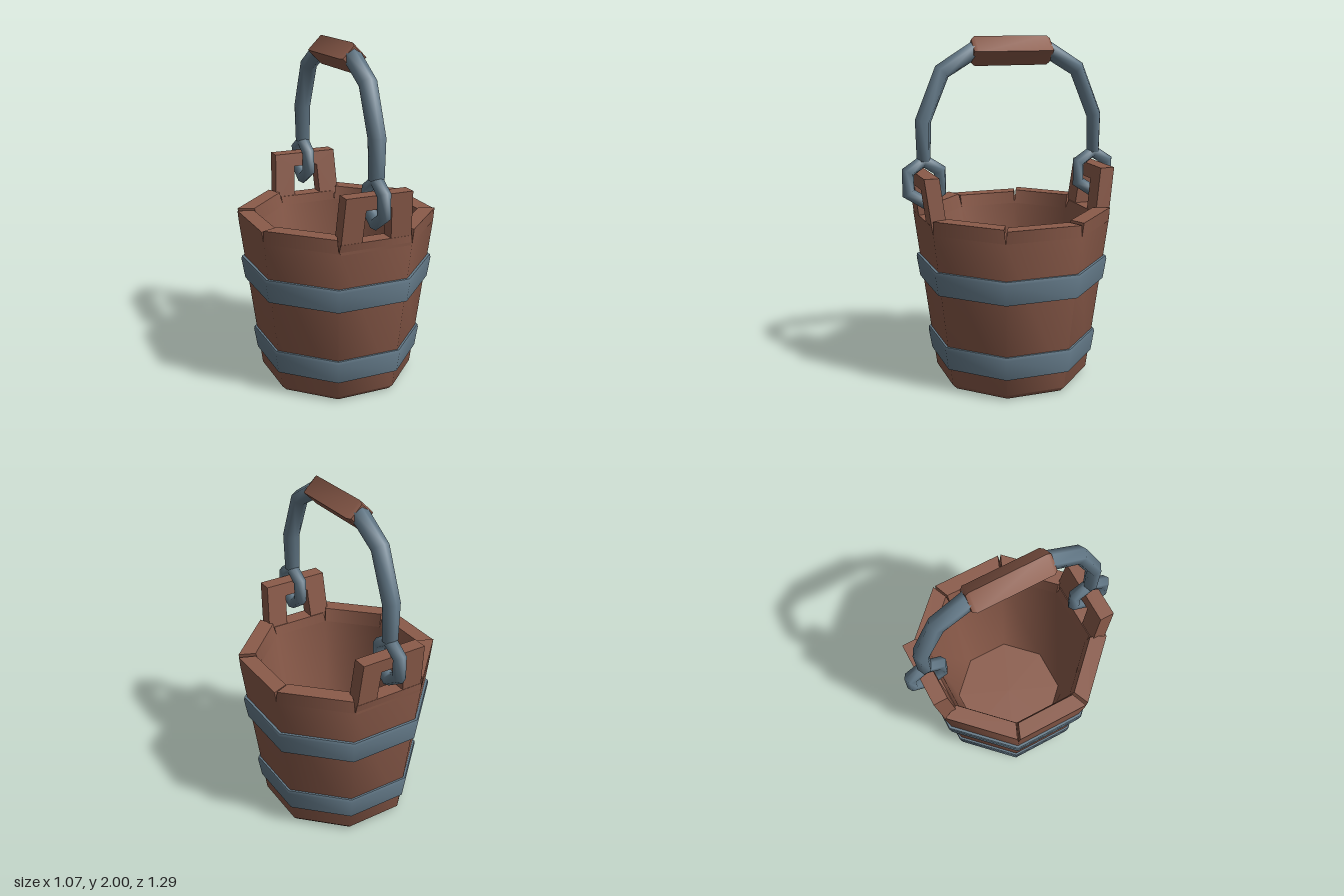
import * as THREE from 'three';
import { toCreasedNormals } from 'three/addons/utils/BufferGeometryUtils.js';

const EIGHTH = Math.PI / 4;
const TAN = Math.tan(EIGHTH / 2);
const COS = Math.cos(EIGHTH / 2);

// Eight-sided turned part; profile is [distance to flat, height]
function octagon(profile) {
  const pts = profile.map(([a, y]) => new THREE.Vector2(a / COS, y));
  return toCreasedNormals(new THREE.LatheGeometry(pts, 8, EIGHTH / 2), 0.9);
}

// Mitred six-sided tube along a path of [z, y, radius] in the x = 0 plane
function sweep(path, closed) {
  const n = path.length, sides = 6, pos = [], index = [];
  const dir = (a, b) => new THREE.Vector2(b[0] - a[0], b[1] - a[1]).normalize();
  for (let i = 0; i < n; i++) {
    const p = path[i];
    const prev = closed || i > 0 ? dir(path[(i + n - 1) % n], p) : dir(p, path[1]);
    const next = closed || i < n - 1 ? dir(p, path[(i + 1) % n]) : prev;
    const t = prev.clone().add(next).normalize();
    const miter = 1 / Math.max(0.6, t.dot(next));
    for (let j = 0; j < sides; j++) {
      const a = (j / sides) * Math.PI * 2, c = Math.cos(a) * p[2] * miter;
      pos.push(Math.sin(a) * p[2] * 1.1, p[1] - t.x * c, p[0] + t.y * c);
    }
  }
  for (let i = 0; i < (closed ? n : n - 1); i++) {
    for (let j = 0; j < sides; j++) {
      const k = (j + 1) % sides, m = (i + 1) % n;
      const a = i * sides + j, b = i * sides + k, c = m * sides + j, d = m * sides + k;
      index.push(a, b, c, b, d, c);
    }
  }
  const g = new THREE.BufferGeometry();
  g.setAttribute('position', new THREE.Float32BufferAttribute(pos, 3));
  g.setIndex(index);
  g.computeVertexNormals();
  return g;
}

// Top end of one stave, narrowed upwards to leave a notch at each corner
function staveTop(top) {
  const g = new THREE.BoxGeometry(1, 1, 1);
  const p = g.attributes.position, nor = g.attributes.normal;
  for (let i = 0; i < p.count; i++) {
    const up = p.getY(i) > 0, out = p.getZ(i) > 0, s = Math.sign(p.getX(i));
    const a = out ? (up ? 0.536 : 0.528) : (up ? 0.445 : 0.423);
    p.setXYZ(i, s * a * TAN * (up ? 0.96 : 1), up ? top : 0.94, a);
    // Round the shading of the outer and inner faces
    if (i >= 16) {
      const f = i < 20 ? 1 : -1;
      nor.setXYZ(i, f * s * Math.sin(EIGHTH / 2), -0.12 * f, f * COS);
    }
  }
  return g;
}

// Leaning lug with a square opening
function lugGeometry() {
  const v = (x, y) => new THREE.Vector2(x, y);
  const shape = new THREE.Shape([v(-0.212, 0.93), v(0.212, 0.93), v(0.195, 1.25), v(-0.195, 1.25)]);
  shape.holes.push(new THREE.Path([v(-0.085, 0.99), v(-0.075, 1.17), v(0.075, 1.17), v(0.085, 0.99)]));
  const g = new THREE.ExtrudeGeometry(shape, { depth: 0.085, bevelEnabled: false });
  const p = g.attributes.position;
  for (let i = 0; i < p.count; i++) {
    p.setZ(i, p.getZ(i) + 0.482 + (p.getY(i) - 1.25) * 0.125);
  }
  g.computeVertexNormals();
  return g;
}

export function createModel() {
  const model = new THREE.Group();
  const wood = new THREE.MeshStandardMaterial({ color: 0x8b5b4a });
  wood.name = 'wood';
  const iron = new THREE.MeshStandardMaterial({ color: 0x647a89 });
  iron.name = 'iron';
  const add = (name, geometry, material) => {
    const mesh = new THREE.Mesh(geometry, material);
    mesh.name = name;
    model.add(mesh);
    return mesh;
  };

  // Hollow tapered tub
  add('tub', octagon([
    [0, 0], [0.39, 0], [0.418, 0.03], [0.528, 0.94],
    [0.423, 0.94], [0.315, 0.08], [0, 0.08],
  ]), wood);

  // Stave ends around the rim
  for (let i = 0; i < 8; i++) {
    const top = i % 2 ? 1.02 : i % 4 ? 1.01 : 0.99;
    add('staveTop', staveTop(top), wood).rotation.y = i * EIGHTH;
  }

  // Two hoops
  for (const [y, a] of [[0.135, 0.445], [0.59, 0.503]]) {
    add('hoop', octagon([
      [a - 0.03, y], [a, y], [a + 0.018, y + 0.12], [a + 0.014, y + 0.138], [a - 0.02, y + 0.138],
    ]), iron);
  }

  // Lugs and hanging links, front and back
  for (const s of [1, -1]) {
    add('lug', lugGeometry(), wood).rotation.y = s > 0 ? 0 : Math.PI;
    const link = [];
    for (let i = 0; i < 6; i++) {
      const a = Math.PI / 2 + (i * Math.PI) / 3;
      link.push([s * 0.518 + Math.cos(a) * 0.106, 1.2 + Math.sin(a) * 0.12, 0.034]);
    }
    add('link', sweep(link, true), iron);
  }

  // Arched bail
  const half = [
    [0.518, 1.312, 0], [0.518, 1.318, 0.04], [0.518, 1.54, 0.045],
    [0.405, 1.81, 0.046], [0.22, 1.922, 0.048],
  ];
  const mirrored = half.map(([z, y, r]) => [-z, y, r]).reverse();
  add('bail', sweep([...half, ...mirrored], false), iron);

  // Four-sided grip
  const profile = [[0, -0.235], [0.066, -0.235], [0.082, -0.215], [0.082, 0.215], [0.066, 0.235], [0, 0.235]];
  const grip = new THREE.LatheGeometry(profile.map(([r, y]) => new THREE.Vector2(r, y)), 4);
  grip.rotateX(Math.PI / 2);
  add('grip', toCreasedNormals(grip, 0.9), wood).position.y = 1.918;

  return model;
}
